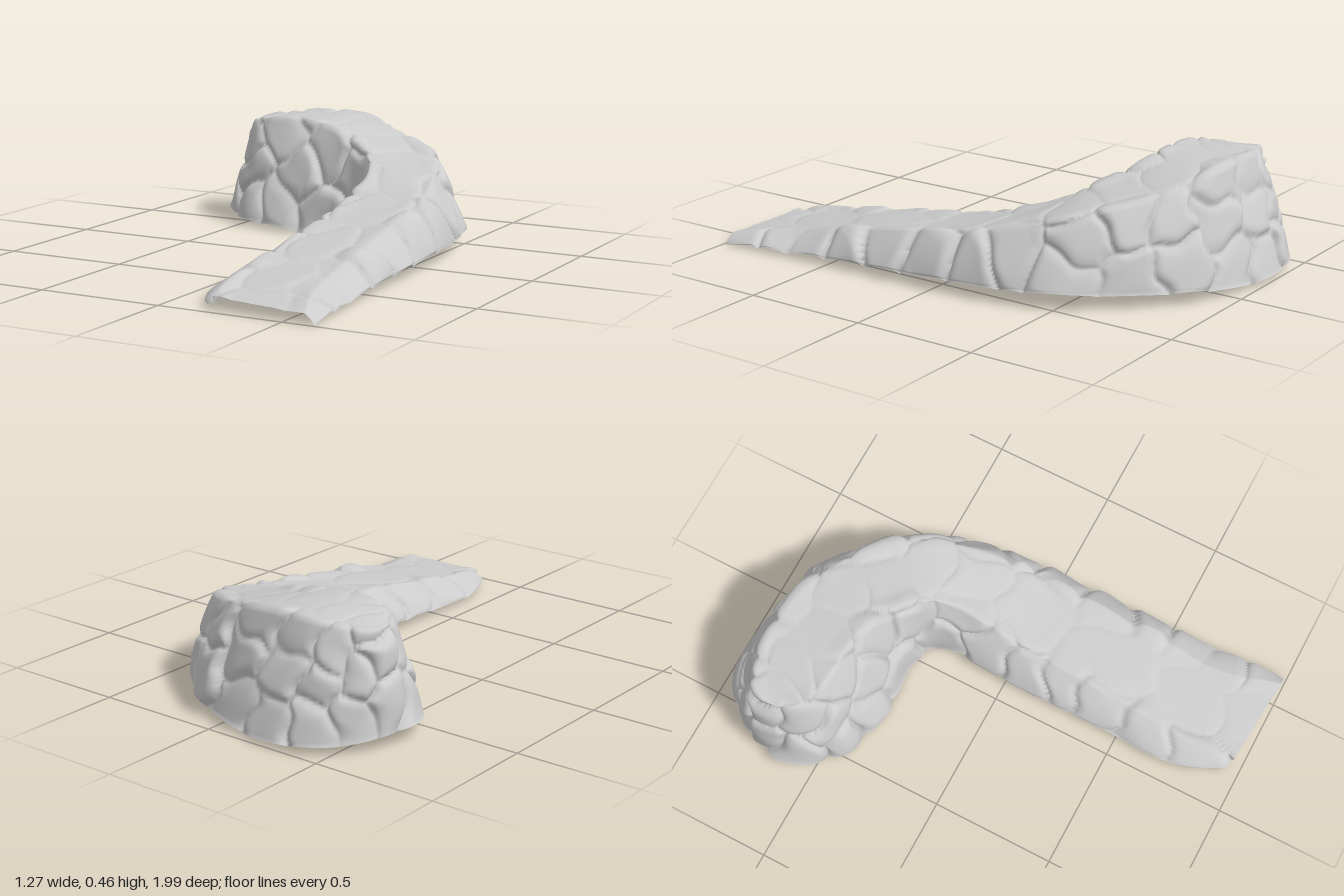
import * as THREE from 'three';
import { mergeVertices } from 'three/addons/utils/BufferGeometryUtils.js';

// Stations from the low end of the ramp to the rounded head.
// inner foot x,z | inner rim x,z | outer rim x,z | outer foot x,z | rim y inner, outer | foot y inner, outer
const STATIONS = [
  [0.19, 0.94, 0.22, 0.96, 0.58, 0.99, 0.62, 0.99, 0.045, 0.045, 0.015, 0.005],
  [0.09, 0.78, 0.19, 0.80, 0.51, 0.80, 0.61, 0.80, 0.075, 0.075, 0.02, 0.02],
  [0.08, 0.40, 0.19, 0.40, 0.49, 0.40, 0.585, 0.40, 0.145, 0.145, 0.035, 0.035],
  [0.08, 0.00, 0.19, 0.00, 0.47, 0.00, 0.575, 0.00, 0.21, 0.21, 0.05, 0.05],
  [0.09, -0.22, 0.19, -0.24, 0.44, -0.30, 0.55, -0.30, 0.285, 0.275, 0.05, 0.06],
  [0.06, -0.33, 0.12, -0.385, 0.37, -0.49, 0.47, -0.55, 0.355, 0.325, 0.025, 0.065],
  [-0.04, -0.37, 0.00, -0.48, 0.22, -0.66, 0.29, -0.77, 0.395, 0.37, 0.02, 0.06],
  [-0.18, -0.365, -0.14, -0.525, 0.00, -0.78, 0.05, -0.915, 0.44, 0.425, 0.01, 0.035],
  [-0.34, -0.385, -0.31, -0.53, -0.23, -0.82, -0.22, -0.975, 0.46, 0.455, 0.02, 0.015],
  [-0.48, -0.435, -0.45, -0.55, -0.42, -0.81, -0.44, -0.945, 0.445, 0.445, 0.025, 0.03],
  [-0.575, -0.535, -0.525, -0.60, -0.525, -0.76, -0.575, -0.84, 0.43, 0.43, 0.045, 0.05],
];
const TIP = { foot: [-0.625, 0.06, -0.68], rim: [-0.55, 0.425, -0.68] };

const WALL = 40; // divisions up each wall
const TREAD = 28; // divisions across the walkway
const ROWS = 360; // divisions along the ramp
const STONE = 0.19; // typical stone size

function seeded(seed) {
  return () => {
    seed = (seed * 16807) % 2147483647;
    return seed / 2147483647;
  };
}

// U-shaped curves: up the inner side, round the head, back down the outer side
function makeCurves() {
  const v = (x, y, z) => new THREE.Vector3(x, y, z);
  const back = [...STATIONS].reverse();
  const foot = [
    ...STATIONS.map((s) => v(s[0], s[10], s[1])), v(...TIP.foot),
    ...back.map((s) => v(s[6], s[11], s[7])),
  ];
  const rim = [
    ...STATIONS.map((s) => v(s[2], s[8], s[3])), v(...TIP.rim),
    ...back.map((s) => v(s[4], s[9], s[5])),
  ];
  return { foot: new THREE.CatmullRomCurve3(foot), rim: new THREE.CatmullRomCurve3(rim) };
}

// Point on the wall: flares at the foot, rises, then leans over towards the rim
function wallPoint(foot, rim, t) {
  const lean = 0.75 * t ** 1.7 + 0.25 * Math.sqrt(t);
  return new THREE.Vector3(
    foot.x + (rim.x - foot.x) * lean,
    foot.y + (rim.y - foot.y) * t,
    foot.z + (rim.z - foot.z) * lean,
  );
}

// Stone centres: courses along the walls, large slabs along the walkway
function placeStones({ foot, rim }, random) {
  const stones = [];
  const add = (p, lift) => stones.push({
    p, lift: lift * (random() - 0.5),
    tilt: new THREE.Vector3(random() - 0.5, random() - 0.5, random() - 0.5).multiplyScalar(0.35),
  });
  const jitter = () => (random() - 0.5) * 0.6;
  const steps = 600;
  for (let course = 0; course < 3; course++) {
    let travelled = STONE * random();
    let last = foot.getPoint(0);
    for (let i = 0; i <= steps; i++) {
      const f = foot.getPoint(i / steps);
      const r = rim.getPoint(i / steps);
      const courses = Math.min(3, Math.max(1, Math.round(f.distanceTo(r) / 0.172)));
      travelled += f.distanceTo(last);
      last = f;
      if (course >= courses || travelled < STONE) continue;
      travelled = STONE * jitter() * 1.3;
      add(wallPoint(f, r, (course + 0.5 + jitter()) / courses), 0.022);
    }
  }
  for (let i = 0; i < 11; i++) {
    const u = 0.01 + i * 0.043;
    add(rim.getPoint(u).lerp(rim.getPoint(1 - u), 0.5 + jitter() * 0.5), 0.02);
  }
  return stones;
}

// Plain open shell: wall, walkway, wall
function makeShell({ foot, rim }) {
  const across = 2 * WALL + TREAD;
  const positions = [], soft = [], index = [];
  for (let i = 0; i <= ROWS; i++) {
    const u = (0.5 * i) / ROWS;
    const feet = [foot.getPoint(u), foot.getPoint(1 - u)];
    const rims = [rim.getPoint(u), rim.getPoint(1 - u)];
    for (let j = 0; j <= across; j++) {
      const side = j * 2 > across ? 1 : 0;
      const k = Math.min(j, across - j);
      let p, s = 0;
      if (k <= WALL) {
        p = wallPoint(feet[side], rims[side], k / WALL);
      } else {
        p = rims[side].clone().lerp(rims[1 - side], (k - WALL) / TREAD);
        s = THREE.MathUtils.smoothstep(p.distanceTo(rims[side]), 0, 0.07);
      }
      positions.push(p.x, p.y, p.z);
      soft.push(s);
      if (i < ROWS && j < across) {
        const a = i * (across + 1) + j, b = a + across + 1;
        index.push(a, a + 1, b, a + 1, b + 1, b);
      }
    }
  }
  const geometry = new THREE.BufferGeometry();
  geometry.setAttribute('position', new THREE.Float32BufferAttribute(positions, 3));
  geometry.setAttribute('soft', new THREE.Float32BufferAttribute(soft, 1));
  geometry.setIndex(index);
  const merged = mergeVertices(geometry, 1e-5);
  merged.computeVertexNormals();
  return merged;
}

// Push each stone outwards, leaving creases where stones meet
function carveStones(geometry, stones) {
  const { position, normal, soft } = geometry.attributes;
  const p = new THREE.Vector3(), n = new THREE.Vector3(), q = new THREE.Vector3();
  for (let i = 0; i < position.count; i++) {
    p.fromBufferAttribute(position, i);
    n.fromBufferAttribute(normal, i);
    // slight warp so the joints wander
    q.set(
      p.x + 0.016 * Math.sin(31 * p.y + 23 * p.z),
      p.y + 0.016 * Math.sin(27 * p.x + 19 * p.z),
      p.z + 0.016 * Math.sin(29 * p.x + 25 * p.y),
    );
    let d1 = Infinity, d2 = Infinity, stone = null;
    for (const s of stones) {
      const d = q.distanceTo(s.p);
      if (d < d1) { d2 = d1; d1 = d; stone = s; } else if (d < d2) d2 = d;
    }
    const edge = Math.min(1, (d2 - d1) / 0.08);
    const dome = Math.sqrt(1 - (1 - edge) ** 2);
    const tilt = THREE.MathUtils.clamp(q.sub(stone.p).dot(stone.tilt), -0.012, 0.012);
    const bulge = dome * (0.03 + stone.lift + tilt) - 0.01;
    // upward faces stay flatter than the wall faces
    const flatten = (1 - 0.55 * n.y ** 2) * (1 - 0.6 * soft.getX(i));
    p.addScaledVector(n, bulge * flatten);
    position.setXYZ(i, p.x, Math.max(0, p.y), p.z);
  }
  geometry.deleteAttribute('soft');
  geometry.computeVertexNormals();
  return geometry;
}

export function createModel() {
  const curves = makeCurves();
  const geometry = carveStones(makeShell(curves), placeStones(curves, seeded(4711)));
  const material = new THREE.MeshStandardMaterial({ color: 0xcccccc, side: THREE.DoubleSide });
  const ramp = new THREE.Mesh(geometry, material);
  ramp.name = 'stoneRamp';
  const group = new THREE.Group();
  group.name = 'curvedStoneRamp';
  group.add(ramp);
  return group;
}
